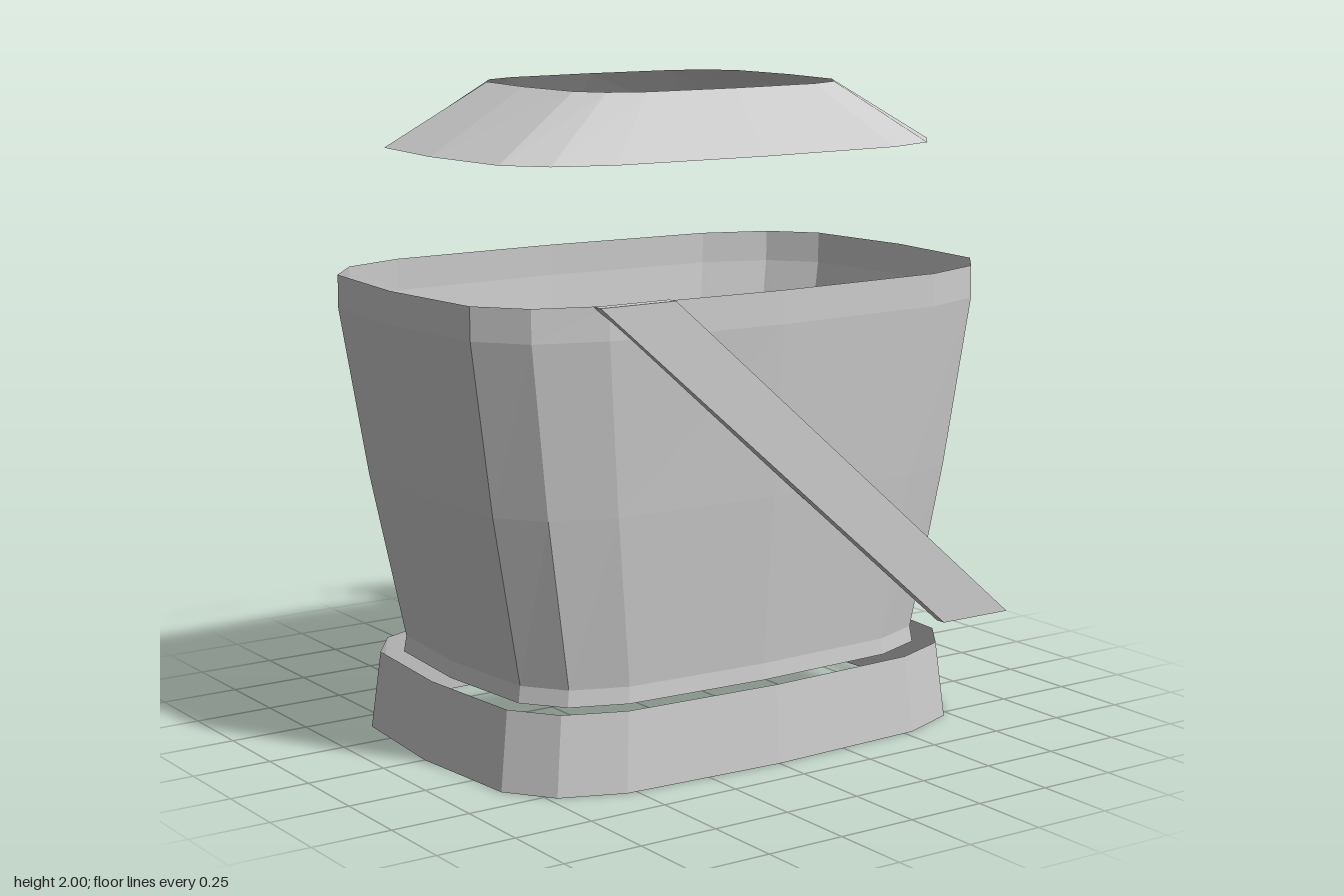
import * as THREE from 'three';

const SEGMENTS = 16;
const material = new THREE.MeshStandardMaterial({ color: 0xcccccc, flatShading: true, side: THREE.DoubleSide });

// Rounded-rectangle (superellipse) outline point for segment i
function outline(i, halfX, halfZ) {
  const a = (i / SEGMENTS) * Math.PI * 2;
  const soften = (v) => (Math.abs(v) < 1e-9 ? 0 : Math.sign(v) * Math.sqrt(Math.abs(v)));
  return [halfX * soften(Math.cos(a)), halfZ * soften(Math.sin(a))];
}

// Open shell lofted through rings of [y, halfX, halfZ], listed bottom to top
function shell(name, rings) {
  const positions = [];
  const indices = [];
  for (const [y, halfX, halfZ] of rings) {
    for (let i = 0; i < SEGMENTS; i++) {
      const [x, z] = outline(i, halfX, halfZ);
      positions.push(x, y, z);
    }
  }
  for (let r = 0; r < rings.length - 1; r++) {
    for (let i = 0; i < SEGMENTS; i++) {
      const j = (i + 1) % SEGMENTS;
      const a = r * SEGMENTS + i, b = r * SEGMENTS + j;
      const c = a + SEGMENTS, d = b + SEGMENTS;
      indices.push(a, c, b, b, c, d);
    }
  }
  const geometry = new THREE.BufferGeometry();
  geometry.setAttribute('position', new THREE.Float32BufferAttribute(positions, 3));
  geometry.setIndex(indices);
  geometry.computeVertexNormals();
  const mesh = new THREE.Mesh(geometry, material);
  mesh.name = name;
  return mesh;
}

// Slanted flat band across the front
function diagonalBand() {
  const shape = new THREE.Shape([
    new THREE.Vector2(-0.635, 1.43),
    new THREE.Vector2(0.63, 0.34),
    new THREE.Vector2(0.885, 0.34),
    new THREE.Vector2(-0.38, 1.43),
  ]);
  const geometry = new THREE.ExtrudeGeometry(shape, { depth: 0.035, bevelEnabled: false });
  geometry.translate(0, 0, 0.597);
  const mesh = new THREE.Mesh(geometry, material);
  mesh.name = 'diagonalBand';
  return mesh;
}

export function createModel() {
  const model = new THREE.Group();
  model.name = 'model';

  // Lower band, main tapering body and floating sloped collar
  model.add(shell('baseBand', [
    [0, 0.86, 0.63],
    [0.24, 0.83, 0.61],
  ]));
  model.add(shell('body', [
    [0.24, 0.765, 0.55],
    [0.29, 0.757, 0.545],
    [0.81, 0.865, 0.592],
    [1.33, 0.95, 0.632],
    [1.43, 0.95, 0.63],
  ]));
  model.add(shell('collar', [
    [1.81, 0.81, 0.535],
    [2, 0.49, 0.39],
  ]));
  model.add(diagonalBand());

  return model;
}
